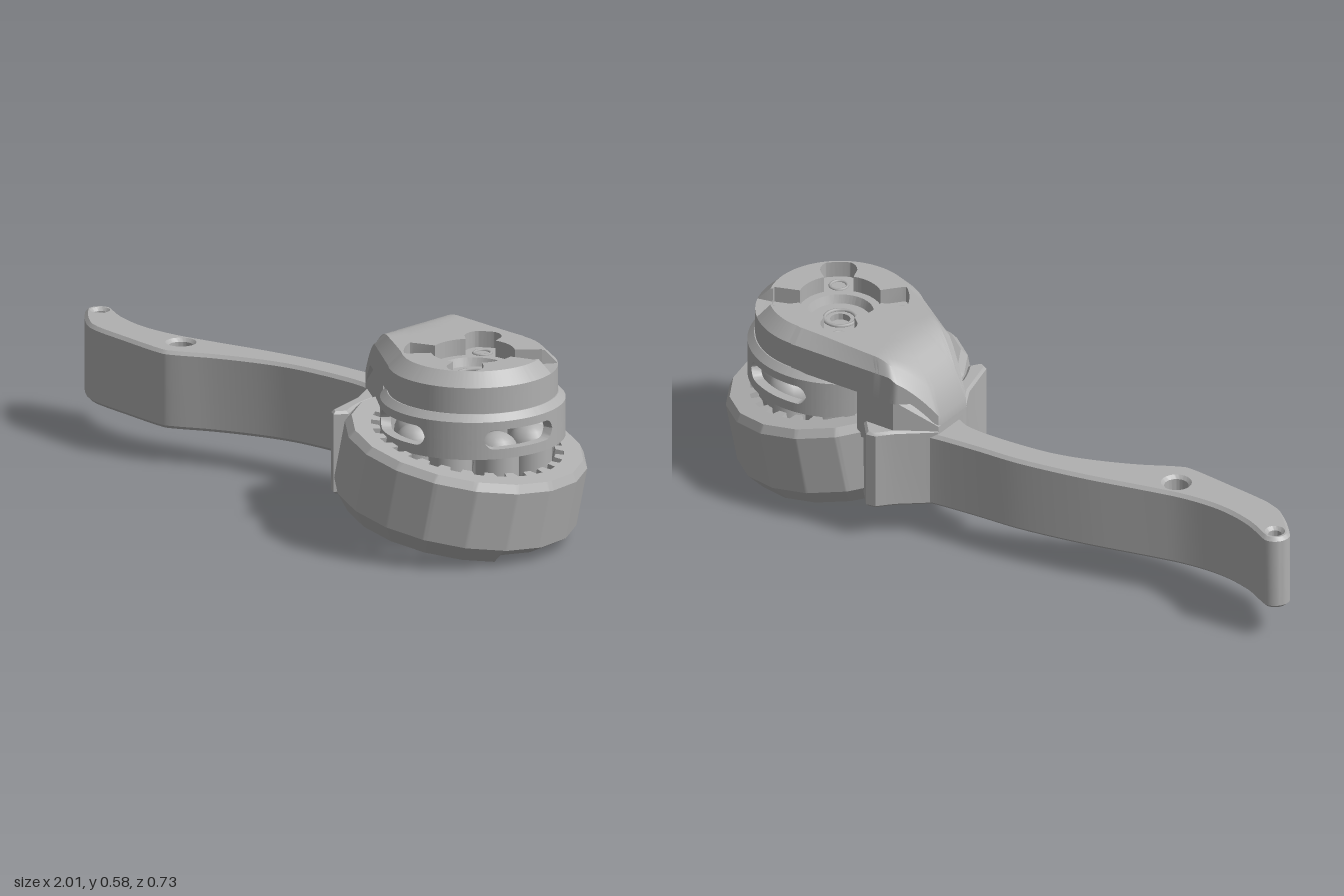
import * as THREE from 'three';
import { toCreasedNormals } from 'three/addons/utils/BufferGeometryUtils.js';

const grey = new THREE.MeshStandardMaterial({ color: 0xb0b0b0 });
grey.name = 'plain grey';
const CX = 0.665, CZ = -0.022; // motor axis
const RX = 0.637;              // centre of the tilted ring

function add(parent, name, geometry, crease = 0.55) {
  const mesh = new THREE.Mesh(crease ? toCreasedNormals(geometry, crease) : geometry, grey);
  mesh.name = name;
  parent.add(mesh);
  return mesh;
}

// Closed cross-section swept round the y axis; every section point is [radius, y] or a => [radius, y]
function sweep(section, n) {
  const pos = [], idx = [], m = section.length;
  for (let j = 0; j < n; j++) {
    const a = (j / n) * Math.PI * 2;
    for (const f of section) {
      const [r, y] = typeof f === 'function' ? f(a) : f;
      pos.push(r * Math.cos(a), y, r * Math.sin(a));
    }
  }
  for (let j = 0; j < n; j++) for (let i = 0; i < m; i++) {
    const k = ((j + 1) % n) * m, i2 = (i + 1) % m;
    idx.push(j * m + i, j * m + i2, k + i, j * m + i2, k + i2, k + i);
  }
  const g = new THREE.BufferGeometry();
  g.setAttribute('position', new THREE.Float32BufferAttribute(pos, 3));
  g.setIndex(idx);
  return g;
}

// Plan outline given as [x, z], raised from y0 to y1; the bevel countersinks the holes
function slab(points, y0, y1, bevel = 0, holes = []) {
  const shape = new THREE.Shape(points.map(([x, z]) => new THREE.Vector2(x, -z)));
  for (const [x, z, r] of holes) shape.holes.push(new THREE.Path().absarc(x, -z, r, 0, Math.PI * 2, true));
  const g = new THREE.ExtrudeGeometry(shape, {
    depth: y1 - y0 - 2 * bevel, bevelEnabled: bevel > 0, bevelSize: bevel, bevelOffset: -bevel,
    bevelThickness: bevel, bevelSegments: 1, curveSegments: 24,
  });
  return g.rotateX(-Math.PI / 2).translate(0, y0 + bevel, 0);
}

const spline = (pts, n) => new THREE.SplineCurve(pts.map(p => new THREE.Vector2(...p)))
  .getPoints(n).map(p => [p.x, p.y]);

// Height of the rounded shoulder
const shoulder = x => 0.575 - 0.155 * Math.min(1, Math.max(0, 1 - (x - 0.19) / 0.19)) ** 2;

// Round cap merging into the tapering arm, as a radius about the motor axis
const planes = [[-1, 0, 0.475], [0, -1, 0.255], [-0.634, -0.775, 0.433],
  [-0.579, 0.816, 0.2505], [0.816, 0.579, 0], [1, 0, 0]];
function capRadius(a) {
  let r = 1;
  for (const [nx, nz, d] of planes) {
    const k = nx * Math.cos(a) + nz * Math.sin(a);
    if (k > 1e-6) r = Math.min(r, d / k);
  }
  return Math.max(0.252, r);
}

// Four-lobed mounting recess; one lobe breaks out through the chamfer
const lobes = [[-0.085, -0.13], [0.165, -0.11], [-0.155, 0.11], [0.095, 0.13]];
function lobeRadius(a) {
  let r = 0.125;
  for (const [u, v] of lobes) {
    const b = u * Math.cos(a) + v * Math.sin(a);
    const s = 0.055 ** 2 - (u * u + v * v - b * b);
    if (b > 0 && s > 0) r = Math.max(r, b + Math.sqrt(s));
  }
  return r;
}
const recessRadius = a => Math.min(lobeRadius(a), 0.205);
const rimHeight = a => (Math.cos(a) > 0 && lobeRadius(a) > 0.228 ? 0.533 : 0.575);

export function createModel() {
  const model = new THREE.Group();
  model.name = 'motorLever';

  // Curved lever with two countersunk holes
  const end = [];
  for (let i = 0; i <= 10; i++) {
    const a = (160 + i * 11.5) * Math.PI / 180;
    end.push([-0.953 + 0.047 * Math.cos(a), -0.1 + 0.047 * Math.sin(a)]);
  }
  const back = spline([[-0.93, -0.138], [-0.85, -0.1], [-0.74, -0.077], [-0.62, -0.082], [-0.5, -0.107],
    [-0.3, -0.155], [-0.1, -0.19], [0.05, -0.2], [0.17, -0.21], [0.24, -0.22]], 40);
  const front = spline([[0.24, -0.05], [0.19, -0.08], [0.14, -0.1], [0.05, -0.105], [-0.1, -0.095],
    [-0.2, -0.075], [-0.3, -0.04], [-0.4, 0.005], [-0.5, 0.06], [-0.55, 0.07], [-0.7, 0.055],
    [-0.85, 0.035], [-0.92, -0.005], [-0.975, -0.058]], 44);
  add(model, 'lever', slab([...end, ...back, ...front].reverse(), 0.105, 0.345, 0.01,
    [[-0.953, -0.1, 0.02], [-0.55, -0.03, 0.036]]));

  // Cradle hugging the ring
  const arc = [];
  for (let i = 0; i <= 12; i++) {
    const a = (230 - i * 6.6) * Math.PI / 180;
    arc.push([RX + 0.345 * Math.cos(a), 0.345 * Math.sin(a)]);
  }
  add(model, 'cradle', slab([[0.19, -0.2], [0.29, -0.28], [0.33, -0.325], [0.36, -0.33], [0.385, -0.3],
    ...arc, [0.31, 0.205], [0.285, 0.19], [0.25, 0.05], [0.2, -0.045], [0.19, -0.07]].reverse(), 0.105, 0.36, 0.008));

  // Neck between cradle and cap, flush with the arm sides
  const neck = slab([[0.19, -0.197], [0.3, -0.277], [0.43, -0.276], [0.43, 0.118], [0.31, 0.031], [0.19, -0.053]].reverse(), 0.3, 0.46);
  const p = neck.attributes.position;
  for (let i = 0; i < p.count; i++) p.setY(i, Math.min(p.getY(i), shoulder(p.getX(i)) - 0.05));
  add(model, 'neck', neck);

  // Small hooked rib beside the cradle
  const hook = new THREE.CatmullRomCurve3([[0.07, 0.13, -0.088], [0.13, 0.138, -0.078], [0.18, 0.175, -0.055]]
    .map(v => new THREE.Vector3(...v)));
  add(model, 'hook', new THREE.TubeGeometry(hook, 12, 0.016, 8), 0);

  // Motor head
  const head = new THREE.Group();
  head.name = 'motorHead';
  head.position.set(CX, 0, CZ);
  model.add(head);

  // Cap: side wall, chamfer, rounded shoulder, then the stepped recess
  const under = (r, a, y, drop) => [r, Math.min(y, shoulder(CX + r * Math.cos(a)) - drop)];
  const top = [0, 0.15, 0.3, 0.45, 0.6, 0.8, 1].map(t => a =>
    under(THREE.MathUtils.lerp(capRadius(a) - 0.04, 0.209, t), a, rimHeight(a), 0));
  add(head, 'cap', sweep([
    a => under(capRadius(a), a, 0.45, 0.06), a => under(capRadius(a), a, 0.535, 0.02),
    ...top, a => [recessRadius(a), rimHeight(a)], a => [recessRadius(a), 0.525],
    [0.1, 0.525], [0.09, 0.5], [0.03, 0.5], [0.03, 0.45],
  ], 360));

  // Raised rims round the screw holes and the shaft
  for (const [u, v] of lobes) {
    add(head, 'screwRim', new THREE.TorusGeometry(0.026, 0.005, 6, 20).rotateX(Math.PI / 2).translate(u * 0.95, 0.525, v * 0.95), 0);
  }
  add(head, 'shaftRim', new THREE.TorusGeometry(0.048, 0.006, 6, 24).rotateX(Math.PI / 2).translate(0, 0.502, 0), 0);

  // Bell with four rounded windows, as a lower and an upper band
  const gap = a => {
    let d = (a * 180 / Math.PI - 13 + 45 + 360) % 90 - 45;
    d = Math.abs(d) - 19;
    return d <= 0 ? 0.03 : d >= 6.5 ? 0 : 0.03 * Math.sqrt(1 - (d / 6.5) ** 2);
  };
  add(head, 'bellLowerBand', sweep([[0.245, 0.32], [0.275, 0.32],
    a => [0.275, 0.38 - gap(a)], a => [0.245, 0.38 - gap(a)]], 360));
  add(head, 'bellUpperBand', sweep([a => [0.245, 0.38 + gap(a)], a => [0.275, 0.38 + gap(a)],
    [0.275, 0.435], [0.255, 0.455], [0.04, 0.455], [0.04, 0.43], [0.245, 0.43]], 360));

  // Shaft and the round-ended windings about it
  add(head, 'shaft', new THREE.CylinderGeometry(0.048, 0.048, 0.16, 24).translate(0, 0.4, 0));
  for (let i = 0; i < 8; i++) {
    const a = ((i + 0.5) / 8) * Math.PI * 2;
    add(head, 'winding', new THREE.CapsuleGeometry(0.065, 0.08, 6, 18)
      .translate(0.182 * Math.cos(a), 0.27, 0.182 * Math.sin(a)), 0);
  }

  // Tilted ring with inner teeth
  const sides = 18, teeth = 26, step = Math.PI * 2 / sides;
  const outer = (a, r) => r * Math.cos(step / 2) / Math.cos((a % step) - step / 2);
  const inner = a => ((a * teeth / (Math.PI * 2)) % 1) < 0.5 ? 0.265 : 0.29;
  const lip = a => -0.127 - (Math.abs(Math.sin(a + 0.2)) > 0.55 ? 0.022 : 0);
  const ring = add(model, 'toothedRing', sweep([
    a => [0.295, lip(a)], a => [outer(a, 0.325), lip(a)], a => [outer(a, 0.366), -0.095],
    a => [outer(a, 0.366), 0.088], a => [outer(a, 0.35), 0.112],
    a => [inner(a), 0.112], a => [inner(a), -0.105], [0.295, -0.105],
  ], 360), 0.5);
  ring.position.set(RX, 0.2, 0);
  ring.rotation.set(-0.06, 0, -0.185);

  return model;
}
